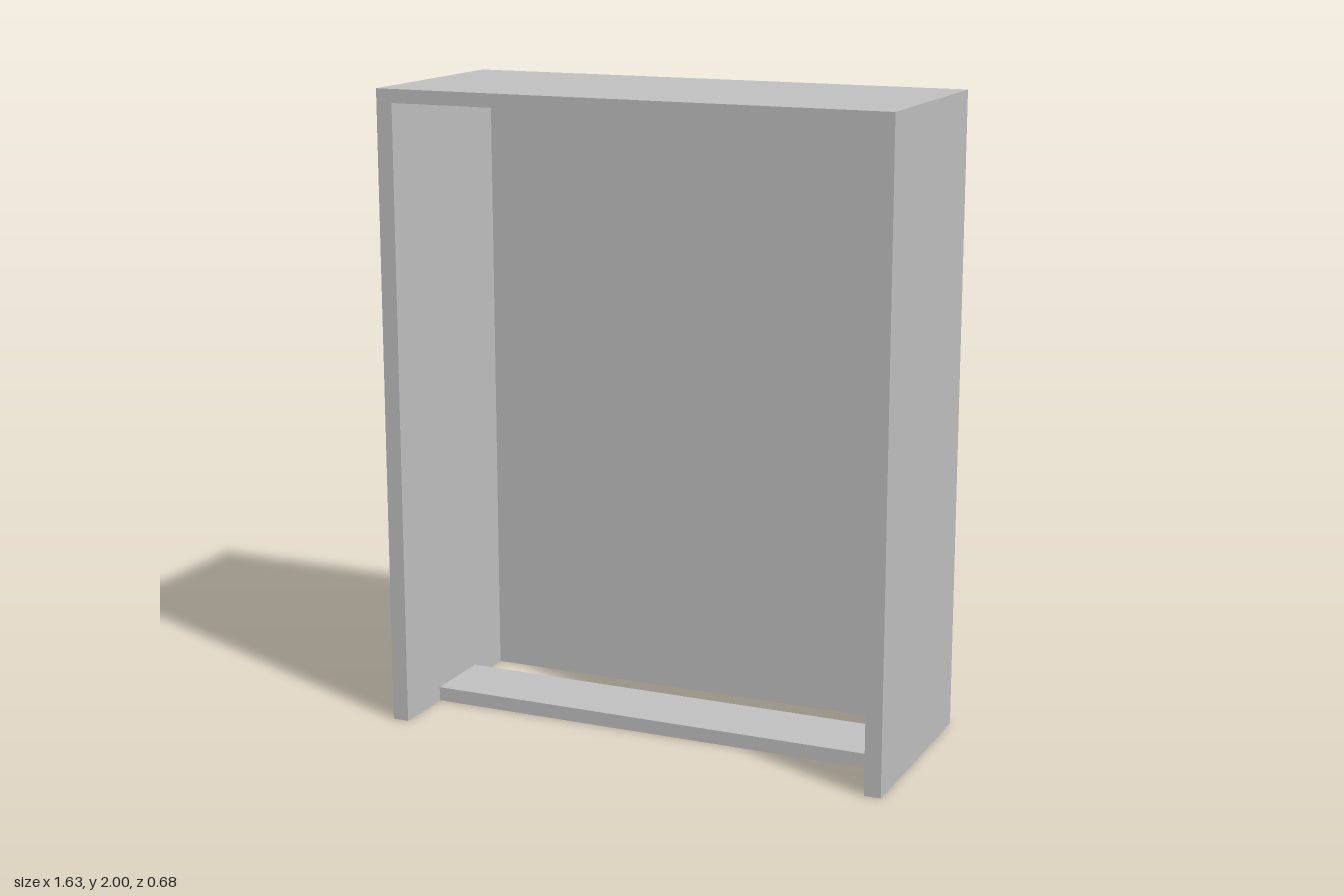
import * as THREE from 'three';

export function createModel() {
  const group = new THREE.Group();
  group.name = 'openCabinet';
  const grey = new THREE.MeshStandardMaterial({ color: 0xc0c0c0 });
  grey.name = 'plainGrey';

  // Outer size and panel thicknesses
  const W = 1.634, H = 2, D = 0.675;
  const side = 0.052, top = 0.042, back = 0.045;
  const innerW = W - 2 * side;

  // Box panel given by its centre x, bottom y and z range
  function panel(name, width, height, x, y, zBack, zFront) {
    const mesh = new THREE.Mesh(new THREE.BoxGeometry(width, height, zFront - zBack), grey);
    mesh.name = name;
    mesh.position.set(x, y + height / 2, (zBack + zFront) / 2);
    group.add(mesh);
  }

  // Shell: back, two sides and top form one flush, open-fronted case
  const outline = new THREE.Shape();
  outline.moveTo(-W / 2, 0);
  outline.lineTo(-W / 2, H);
  outline.lineTo(W / 2, H);
  outline.lineTo(W / 2, 0);
  outline.lineTo(innerW / 2, 0);
  outline.lineTo(innerW / 2, H - top);
  outline.lineTo(-innerW / 2, H - top);
  outline.lineTo(-innerW / 2, 0);
  const frame = new THREE.Mesh(
    new THREE.ExtrudeGeometry(outline, { depth: D, bevelEnabled: false }), grey);
  frame.name = 'sidesAndTop';
  frame.position.z = -D / 2;
  group.add(frame);

  // Back panel, set between the sides and under the top
  panel('backPanel', innerW, H - top, 0, 0, -D / 2, -D / 2 + back);

  // Bottom plank, with gaps in front of and behind it
  panel('bottomPlank', innerW, 0.045, 0, 0, -0.11, 0.13);

  return group;
}
